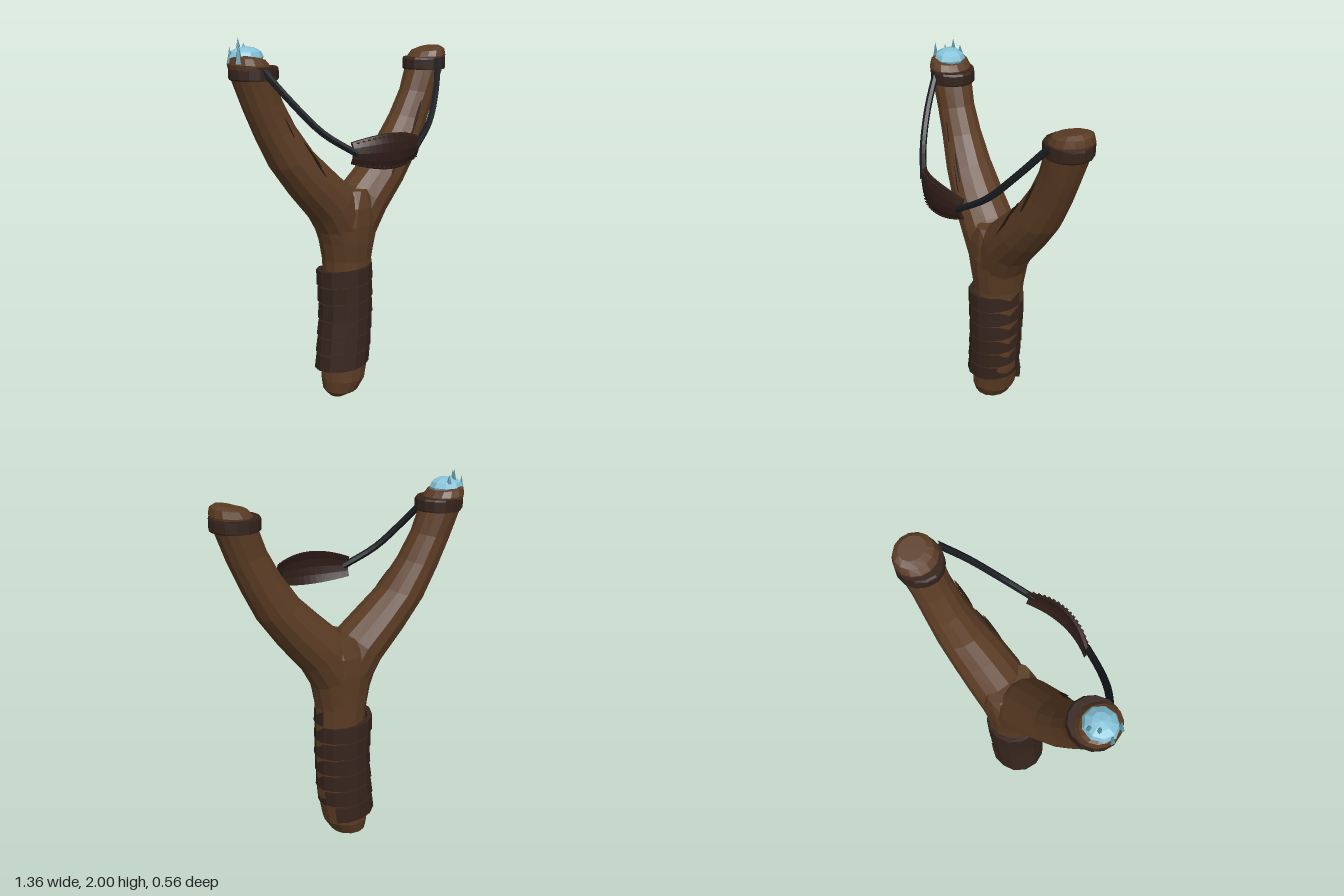
import * as THREE from 'three';

const SIDES = 14;
const V = (x, y, z) => new THREE.Vector3(x, y, z);
const mat = (color) => new THREE.MeshStandardMaterial({ color, flatShading: true });
const wood = mat(0x5b3c24), wrapMat = mat(0x35241c), cordMat = mat(0x171b1f);
const pouchMat = mat(0x2f1d18), grooveMat = mat(0x2a1a10), ice = mat(0x86c3d8), iceDark = mat(0x5f93a3);

function add(parent, name, geometry, material) {
  const mesh = new THREE.Mesh(geometry, material);
  mesh.name = name;
  parent.add(mesh);
  return mesh;
}

// Skin a list of equal-sized point rings and close both ends
function loft(rings) {
  const n = rings[0].length, pos = [], idx = [];
  rings.forEach((r) => r.forEach((p) => pos.push(p.x, p.y, p.z)));
  for (let k = 0; k < rings.length - 1; k++) {
    for (let i = 0; i < n; i++) {
      const a = k * n + i, b = k * n + (i + 1) % n;
      idx.push(a, a + n, b + n, a, b + n, b);
    }
  }
  [0, rings.length - 1].forEach((k, end) => {
    const c = rings[k].reduce((s, p) => s.add(p), V(0, 0, 0)).divideScalar(n);
    const ci = pos.length / 3;
    pos.push(c.x, c.y, c.z);
    for (let i = 0; i < n; i++) {
      const a = k * n + i, b = k * n + (i + 1) % n;
      if (end) idx.push(ci, b, a); else idx.push(ci, a, b);
    }
  });
  const g = new THREE.BufferGeometry();
  g.setAttribute('position', new THREE.Float32BufferAttribute(pos, 3));
  g.setIndex(idx);
  g.computeVertexNormals();
  return g;
}

// Oval ring between a low-x and a high-x edge point, with depth centre cz and half depth rz
function oval([x0, y0, x1, y1, cz, rz]) {
  return Array.from({ length: SIDES }, (_, i) => {
    const a = (i / SIDES) * Math.PI * 2, t = 0.5 + 0.5 * Math.cos(a);
    return V(x0 + (x1 - x0) * t, y0 + (y1 - y0) * t, cz + rz * Math.sin(a));
  });
}

// Handle sections: y, low x, high x, back z, front z
const HANDLE = [
  [0, -0.13, -0.05, -0.17, -0.07], [0.03, -0.155, 0.04, -0.225, -0.025],
  [0.1, -0.162, 0.085, -0.25, 0], [0.27, -0.15, 0.12, -0.25, 0.002],
  [0.5, -0.128, 0.13, -0.255, 0.005], [0.8, -0.145, 0.132, -0.268, 0.01],
  [0.9, -0.165, 0.15, -0.275, 0.025], [1.0, -0.2, 0.18, -0.283, 0.032],
  [1.1, -0.17, 0.17, -0.28, 0.028], [1.19, -0.06, 0.08, -0.265, 0.01],
];

// Point on the handle surface, pushed outwards by off
function handlePoint(y, a, off) {
  const k = Math.max(1, HANDLE.findIndex((r) => r[0] >= y));
  const p = HANDLE[k - 1], q = HANDLE[k], t = (y - p[0]) / (q[0] - p[0]);
  const [, l, r, b, f] = p.map((v, i) => v + (q[i] - v) * t);
  return V((l + r) / 2 + ((r - l) / 2 + off) * Math.cos(a), y,
    (b + f) / 2 + ((f - b) / 2 + off) * Math.sin(a));
}

// Arm sections: inner x, y, outer x, y, depth centre, half depth
const ARM = [
  [-0.12, 0.8, 0.13, 0.8, -0.13, 0.132], [-0.1, 1.05, 0.155, 0.92, -0.127, 0.148],
  [0.005, 1.21, 0.215, 1.03, -0.127, 0.152], [0.12, 1.315, 0.34, 1.18, -0.13, 0.142],
  [0.23, 1.42, 0.455, 1.34, -0.138, 0.126], [0.33, 1.56, 0.535, 1.5, -0.145, 0.108],
  [0.4, 1.69, 0.6, 1.65, -0.147, 0.101], [0.44, 1.8, 0.655, 1.8, -0.15, 0.107],
  [0.465, 1.865, 0.672, 1.875, -0.15, 0.112], [0.49, 1.893, 0.665, 1.91, -0.15, 0.1],
  [0.53, 1.905, 0.64, 1.925, -0.15, 0.07],
];

export function createModel() {
  const group = new THREE.Group();
  group.name = 'slingshot';

  add(group, 'handle', loft(HANDLE.map(([y, l, r, b, f]) =>
    oval([l, y, r, y, (b + f) / 2, (f - b) / 2]))), wood);

  // Spiral leather wrap, sunk into the wood on one side
  const strip = [];
  for (let i = 2; i <= 6 * SIDES + 1; i++) {
    const u = i / SIDES, a = -u * Math.PI * 2 + Math.PI * 2, y = 0.16 + u * 0.0975;
    const off = i < 5 ? 0.022 : 0.018 - 0.02 * Math.cos(a);
    const lo = y - 0.043, hi = y + 0.043;
    strip.push([handlePoint(lo, a, off + 0.005), handlePoint(hi, a, off),
      handlePoint(hi, a, off - 0.025), handlePoint(lo, a, off - 0.025)]);
  }
  add(group, 'gripWrap', loft(strip), wrapMat);

  for (const s of [1, -1]) {
    const side = s > 0 ? 'left' : 'right';
    const shift = s > 0 ? -0.008 : 0.008;

    // Fork arm, its tie band and its cord
    const sections = ARM.map(([xi, yi, xo, yo, cz, rz], k) => {
      const z = cz + shift * Math.min(1, k / 5);
      return s > 0 ? [xi, yi, xo, yo, z, rz] : [-xo - 0.008, yo, -xi - 0.008, yi, z, rz];
    });
    add(group, side + 'Arm', loft(sections.map(oval)), wood);

    const band = [[1.797, 0.43, 0.668], [1.805, 0.425, 0.675], [1.852, 0.425, 0.675], [1.862, 0.435, 0.672]];
    add(group, side + 'TieBand', loft(band.map(([y, a, b]) =>
      oval([s > 0 ? a : -b, y, s > 0 ? b : -a, y, -0.15 + shift, 0.118]))), wrapMat);

    const cord = new THREE.CatmullRomCurve3([
      V(s * 0.555, 1.85, -0.045), V(s * 0.46, 1.7, 0.055),
      V(s * 0.34, 1.55, 0.145), V(s * 0.185, 1.44, 0.222)]);
    add(group, side + 'Cord', new THREE.TubeGeometry(cord, 12, 0.018, 6), cordMat);

    // Long splits in the bark on the front of the arm
    const splits = [[0.18, 1.22, 0.3, 1.42, 0.004], [0.23, 1.33, 0.33, 1.48, -0.018], [0.36, 1.44, 0.45, 1.64, -0.03]];
    splits.forEach(([x0, y0, x1, y1, z]) => {
      const a = V(s * x0, y0, z), b = V(s * x1, y1, z - 0.022);
      const split = add(group, side + 'BarkSplit',
        new THREE.SphereGeometry(1, 5, 6).scale(0.005, a.distanceTo(b) / 2, 0.008), grooveMat);
      split.position.lerpVectors(a, b, 0.5);
      split.quaternion.setFromUnitVectors(V(0, 1, 0), b.sub(a).normalize());
    });
  }

  // Curved leather pouch, narrower at its ends
  const pouch = new THREE.BoxGeometry(0.41, 0.18, 0.016, 12, 4, 1);
  const p = pouch.attributes.position;
  const bend = (x, y, z) => [x, 1.443 + y * (1 - 9.5 * x * x), 0.272 + z - 1.35 * x * x - 2.2 * y * y];
  for (let i = 0; i < p.count; i++) p.setXYZ(i, ...bend(p.getX(i), p.getY(i), p.getZ(i)));
  pouch.computeVertexNormals();
  add(group, 'pouch', pouch, pouchMat);

  // Stitches along both long edges
  for (let i = -7; i <= 7; i++) {
    for (const y of [-0.078, 0.078]) {
      const st = add(group, 'stitch', new THREE.BoxGeometry(0.014, 0.006, 0.008), wrapMat);
      st.position.set(...bend(i * 0.026, y, 0.009));
    }
  }

  // Ice cap with spikes on the right arm
  const cap = add(group, 'iceCap', new THREE.SphereGeometry(1, 9, 6), ice);
  cap.scale.set(0.088, 0.052, 0.082);
  cap.position.set(-0.588, 1.908, -0.145);
  const spikes = [[-0.655, 1.88, -0.095, 0.1, 0.02], [-0.61, 1.91, -0.18, 0.09, 0.021],
    [-0.668, 1.88, -0.16, 0.08, 0.016], [-0.57, 1.93, -0.2, 0.045, 0.015]];
  spikes.forEach(([x, y, z, h, r]) => {
    const spike = add(group, 'iceSpike', new THREE.ConeGeometry(r, h, 5).translate(0, h / 2, 0), iceDark);
    spike.position.set(x, y, z);
  });

  return group;
}
